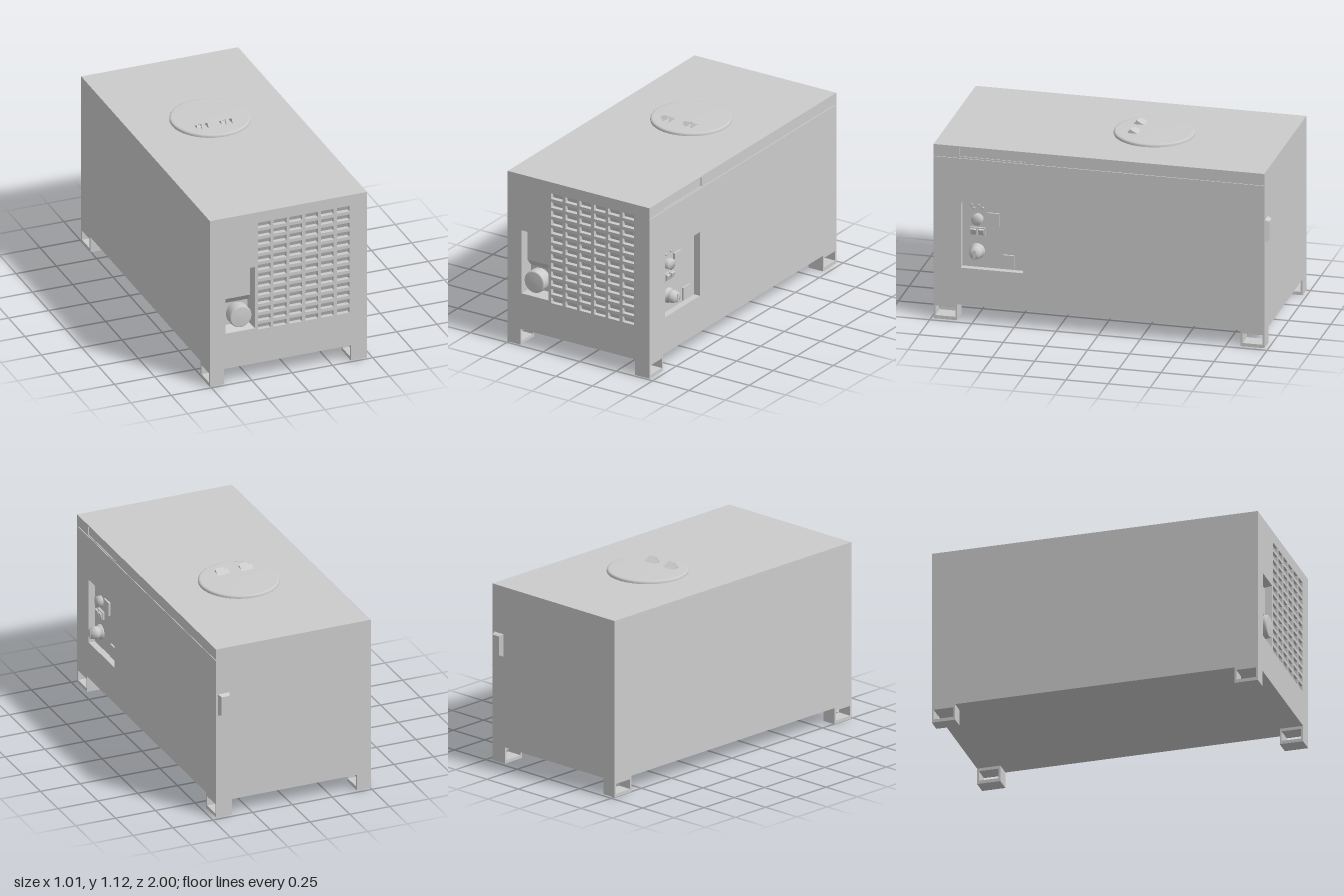
import * as THREE from 'three';
import { mergeGeometries } from 'three/addons/utils/BufferGeometryUtils.js';

const X0 = -0.504, X1 = 0.469, Y0 = 0.098, Y1 = 1.07, Z0 = -0.976, Z1 = 0.985;
const grey = new THREE.MeshStandardMaterial({ color: 0xcccccc, side: THREE.DoubleSide });

function add(parent, name, geometry, x = 0, y = 0, z = 0) {
  const mesh = new THREE.Mesh(geometry, grey);
  mesh.name = name;
  mesh.position.set(x, y, z);
  parent.add(mesh);
  return mesh;
}

// outline of a rectangle [x0, y0, x1, y1]
function outline(r, Type = THREE.Shape) {
  const [a, b, c, d] = r;
  return new Type([[a, b], [c, b], [c, d], [a, d]].map(p => new THREE.Vector2(...p)));
}

// flat sheet in the xy plane, cut by rectangular holes
function sheet(rect, holes) {
  const s = outline(rect);
  s.holes.push(...holes.map(h => outline(h, THREE.Path)));
  return new THREE.ShapeGeometry(s);
}

// open tray from rect to an inset floor; negative depth gives a raised, tapered block
function pocket([a, b, c, d], inset, bottomDepth, topDepth = bottomDepth) {
  const i = inset;
  const v = [
    [a, b, 0], [c, b, 0], [c, d, 0], [a, d, 0],
    [a + i, b + i, -bottomDepth], [c - i, b + i, -bottomDepth],
    [c - i, d - i, -topDepth], [a + i, d - i, -topDepth],
  ];
  const quads = [[4, 5, 6, 7], [0, 1, 5, 4], [1, 2, 6, 5], [2, 3, 7, 6], [3, 0, 4, 7]];
  const pos = quads.flatMap(([p, q, r, s]) => [p, q, r, p, r, s].flatMap(k => v[k]));
  const g = new THREE.BufferGeometry();
  g.setAttribute('position', new THREE.Float32BufferAttribute(pos, 3));
  g.computeVertexNormals();
  return g;
}

// block sitting on a plane of local z, centred at x, y
function block(parent, name, x, y, w, h, zBase, depth) {
  return add(parent, name, new THREE.BoxGeometry(w, h, depth), x, y, zBase + depth / 2);
}

// round part turned about local z; profile is [radius, z] pairs
function turned(parent, name, profile, x, y, z, sides = 32) {
  const g = new THREE.LatheGeometry(profile.map(p => new THREE.Vector2(...p)), sides);
  g.rotateX(Math.PI / 2);
  const flat = g.toNonIndexed();
  const out = profile.length > 3 ? g : flat;
  return add(parent, name, out, x, y, z);
}

function buildFront(root) {
  const front = new THREE.Group();
  front.name = 'frontSide';
  front.position.z = Z1;
  root.add(front);

  // vent grid
  const vents = [];
  for (let col = 0; col < 6; col++) {
    for (let row = 0; row < 13; row++) {
      const x = -0.206 + col * 0.0978, y = 0.312 + row * 0.0545;
      vents.push([x, y, x + 0.078, y + 0.035]);
    }
  }
  const win = [-0.408, 0.324, -0.225, 0.72];
  add(front, 'frontPanel', sheet([X0, Y0, X1, Y1], [...vents, win]));
  add(front, 'vents', mergeGeometries(vents.map(v => pocket(v, 0, 0.028, 0.014))));

  // window recess: shallow pane above, sloping back to a deeper floor
  add(front, 'windowRecess', pocket(win, 0.018, 0.07));
  const pane = new THREE.Shape([[0.07, 0.7], [0.04, 0.7], [0.04, 0.525], [0.07, 0.485]]
    .map(p => new THREE.Vector2(...p)));
  const paneGeo = new THREE.ExtrudeGeometry(pane, { depth: 0.155, bevelEnabled: false });
  paneGeo.rotateY(Math.PI / 2);
  add(front, 'windowPane', paneGeo, -0.394, 0, 0);
  turned(front, 'frontKnob',
    [[0.058, 0], [0.068, 0.02], [0.068, 0.07], [0.066, 0.079], [0.06, 0.083], [0, 0.085]],
    -0.316, 0.42, -0.07, 40);
}

// local x runs towards the back, local z points outward
function buildControlSide(root) {
  const side = new THREE.Group();
  side.name = 'controlSide';
  side.position.x = X1;
  side.rotation.y = Math.PI / 2;
  root.add(side);

  const panel = [-0.823, 0.325, -0.456, 0.725];
  const seam = [-Z1 + 0.001, 0.996, -Z0 - 0.001, 1.001];
  const grip = [-0.83, 1.008, -0.44, 1.062];
  const depth = 0.04;
  add(side, 'sidePanel', sheet([-Z1, Y0, -Z0, Y1], [panel, seam, grip]));
  add(side, 'controlRecess', pocket(panel, 0, depth));
  add(side, 'lidSeam', pocket(seam, 0, 0.006));
  add(side, 'gripRecess', pocket(grip, 0, 0.005));

  // controls standing on the recess floor
  const z = -depth;
  turned(side, 'mainKnob',
    [[0.045, 0], [0.045, 0.012], [0.034, 0.016], [0.04, 0.036], [0.038, 0.042], [0.03, 0.07], [0, 0.071]],
    -0.735, 0.425, z, 24);
  block(side, 'mainKnobGrip', -0.735, 0.425, 0.014, 0.05, z + 0.068, 0.006);
  turned(side, 'roundSocket', [[0.033, 0], [0.033, 0.03], [0, 0.03]], -0.732, 0.622, z);
  for (const x of [-0.755, -0.709]) {
    block(side, 'switchFrame', x, 0.546, 0.044, 0.048, z, 0.014);
    const rocker = block(side, 'switchRocker', x, 0.546, 0.032, 0.034, z + 0.006, 0.016);
    rocker.rotation.x = 0.3;
  }
  block(side, 'upperCover', -0.639, 0.625, 0.072, 0.08, z, 0.012);
  block(side, 'lowerCover', -0.55, 0.375, 0.07, 0.08, z, 0.012);
  for (const [x, y] of [[-0.77, 0.705], [-0.755, 0.685], [-0.727, 0.705], [-0.702, 0.69]]) {
    turned(side, 'indicatorLight', [[0.007, 0], [0.007, 0.008], [0, 0.008]], x, y, z, 12);
  }
}

function buildTopHatch(root) {
  const hatch = new THREE.Group();
  hatch.name = 'topHatch';
  hatch.position.set(-0.02, Y1, -0.2);
  root.add(hatch);
  const profile = [[0.235, 0], [0.235, 0.01], [0.231, 0.016], [0.222, 0.019], [0, 0.021]];
  add(hatch, 'hatchCover', new THREE.LatheGeometry(profile.map(p => new THREE.Vector2(...p)), 64));

  // wedge grips, hollow towards the front
  const wedge = new THREE.Shape([[-0.14, 0.018], [-0.12, 0.046], [-0.07, 0.018]]
    .map(p => new THREE.Vector2(...p)));
  const mouth = new THREE.Shape([[-0.136, 0.022], [-0.122, 0.042], [-0.09, 0.022]]
    .map(p => new THREE.Vector2(...p)));
  for (const x of [-0.075, 0.075]) {
    for (const s of [-1, 1]) {
      const cheek = new THREE.ExtrudeGeometry(wedge, { depth: 0.007, bevelEnabled: false });
      cheek.rotateY(Math.PI / 2);
      add(hatch, 'gripCheek', cheek, x + s * 0.0195 - 0.0035, 0, 0);
    }
    const roof = new THREE.PlaneGeometry(0.046, 0.0575);
    roof.rotateX(-Math.PI / 2 - Math.atan2(0.028, 0.05));
    const flip = roof.attributes.position;
    for (let i = 0; i < flip.count; i++) {
      const back = i < 2;
      flip.setXYZ(i, flip.getX(i), back ? 0.018 : 0.046, back ? 0.07 : 0.12);
    }
    roof.computeVertexNormals();
    add(hatch, 'gripRoof', roof, x, 0, 0);
    const core = new THREE.ExtrudeGeometry(mouth, { depth: 0.036, bevelEnabled: false });
    core.rotateY(Math.PI / 2);
    core.scale(1, 0.85, 1);
    add(hatch, 'gripCore', core, x - 0.018, 0.002, -0.016);
  }
  // grips face the front
  for (const m of hatch.children) {
    if (m.name.startsWith('grip')) {
      m.geometry.scale(1, 1, -1);
      const index = m.geometry.index;
      const n = index ? index.count : m.geometry.attributes.position.count;
      const order = Array.from({ length: n }, (_, i) => (index ? index.getX(i) : i));
      for (let i = 0; i < n; i += 3) [order[i], order[i + 1]] = [order[i + 1], order[i]];
      m.geometry.setIndex(order);
      m.geometry = m.geometry.toNonIndexed();
      m.geometry.computeVertexNormals();
      m.geometry.rotateY(Math.PI);
      m.position.z = m.name === 'gripCore' ? -0.012 : 0;
      m.geometry.scale(1, 1, 1);
      // place the peak towards the front edge
      m.geometry.computeBoundingBox();
      const b = m.geometry.boundingBox;
      if (b.max.z <= 0) m.geometry.translate(0, 0, 0.21);
    }
  }
}

export function createModel() {
  const root = new THREE.Group();
  root.name = 'generatorCabinet';
  const w = X1 - X0, h = Y1 - Y0, d = Z1 - Z0;
  const cx = (X0 + X1) / 2, cy = (Y0 + Y1) / 2, cz = (Z0 + Z1) / 2;

  // plain cabinet faces
  add(root, 'roof', new THREE.PlaneGeometry(w, d).rotateX(-Math.PI / 2), cx, Y1, cz);
  add(root, 'floor', new THREE.PlaneGeometry(w, d).rotateX(Math.PI / 2), cx, Y0, cz);
  add(root, 'backPanel', new THREE.PlaneGeometry(w, h).rotateY(Math.PI), cx, cy, Z0);
  add(root, 'plainSide', new THREE.PlaneGeometry(d, h).rotateY(-Math.PI / 2), X0, cy, cz);
  buildFront(root);
  buildControlSide(root);
  buildTopHatch(root);

  // latch on the back
  const latch = add(root, 'backLatch', pocket([-0.036, -0.068, 0.036, 0.068], 0.011, -0.024), 0.42, 0.714, Z0);
  latch.rotation.y = Math.PI;

  // hollow feet, open sideways
  const foot = outline([-0.07, 0, 0.07, Y0]);
  foot.holes.push(outline([-0.059, 0.02, 0.059, 0.08], THREE.Path));
  for (const z of [Z1 - 0.07, Z0 + 0.07]) {
    for (const [x, len] of [[X0, 0.088], [X1 - 0.099, 0.099]]) {
      const g = new THREE.ExtrudeGeometry(foot, { depth: len, bevelEnabled: false });
      add(root, 'foot', g.rotateY(Math.PI / 2), x, 0, z);
    }
  }
  return root;
}
